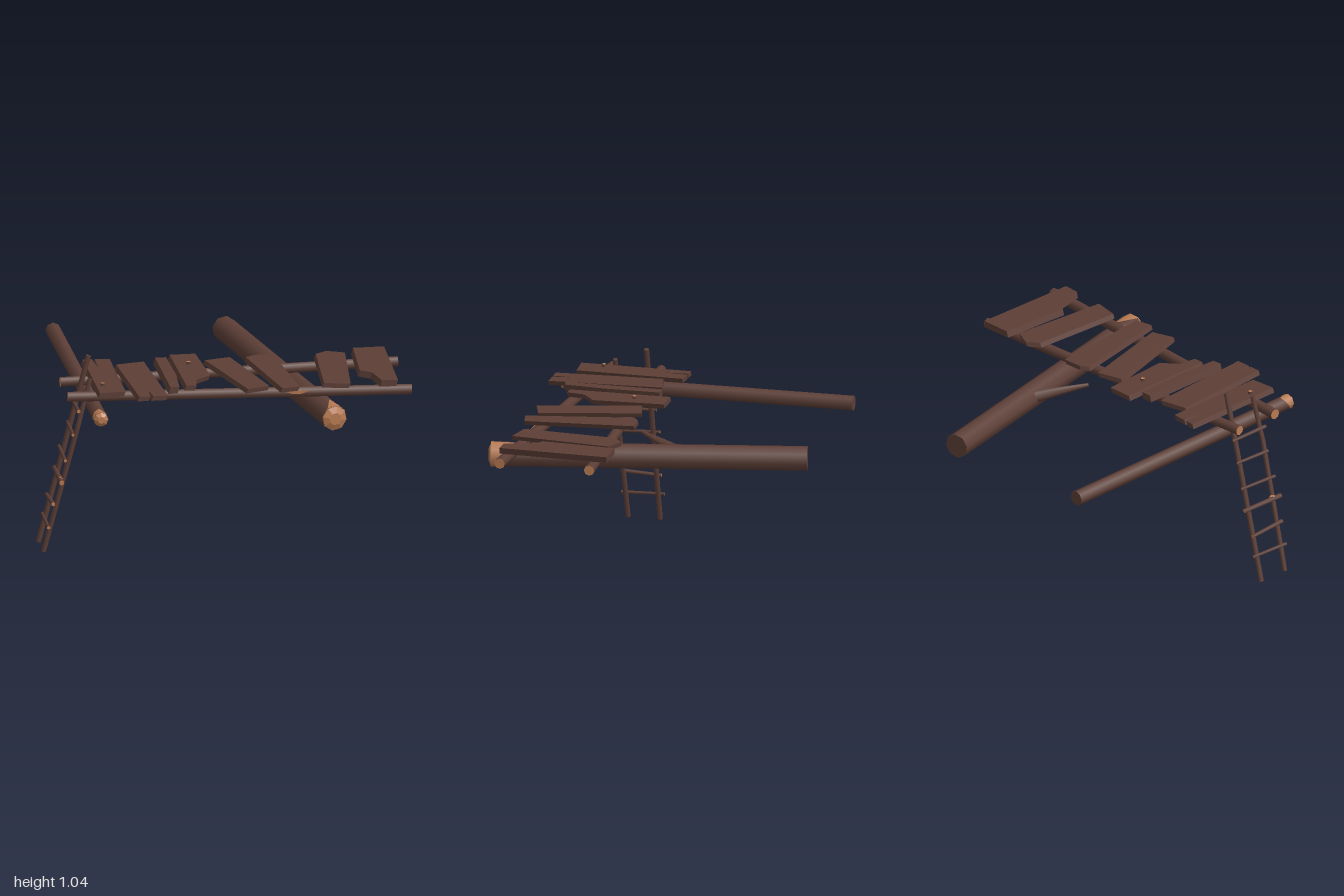
import * as THREE from 'three';

const bark = new THREE.MeshStandardMaterial({ color: 0x5d3f37 });
bark.name = 'dark bark';
const cut = new THREE.MeshStandardMaterial({ color: 0xb87a52 });
cut.name = 'fresh cut wood';

const V = (x, y, z) => new THREE.Vector3(x, y, z);
const UP = V(0, 1, 0);

// Round pole from a to b; startMat and endMat colour its two ends
function pole(name, a, b, ra, rb, sides = 8, startMat = bark, endMat = bark) {
  const dir = b.clone().sub(a);
  const geo = new THREE.CylinderGeometry(rb, ra, dir.length(), sides);
  const mesh = new THREE.Mesh(geo, [bark, endMat, startMat]);
  mesh.name = name;
  mesh.position.copy(a).add(b).multiplyScalar(0.5);
  mesh.quaternion.setFromUnitVectors(UP, dir.normalize());
  return mesh;
}

// Log with a chopped front end: shallow tip plus a slanted strip of bare wood
function choppedLog(name, a, b, ra, rb, sides, depthRule) {
  const group = new THREE.Group();
  group.name = name;
  const log = pole(name + 'Trunk', a, b, ra, rb, sides, bark, cut);
  const half = log.geometry.parameters.height / 2;
  const tipGeo = new THREE.CylinderGeometry(rb * 0.5, rb, 0.014, sides).toNonIndexed();
  tipGeo.computeVertexNormals();
  const tip = new THREE.Mesh(tipGeo, cut);
  tip.name = name + 'Tip';
  tip.position.y = half + 0.007;
  const collarGeo = new THREE.CylinderGeometry(rb + 0.002, rb + 0.002, 0.002, sides, 1, true);
  const p = collarGeo.attributes.position;
  for (let i = 0; i < p.count; i++) {
    if (p.getY(i) < 0) p.setY(i, -depthRule(p.getX(i) / rb, -p.getZ(i) / rb));
  }
  const collar = new THREE.Mesh(collarGeo, cut);
  collar.name = name + 'BareWood';
  collar.position.y = half;
  log.add(tip, collar);
  group.add(log);
  return group;
}

// Rough board from a top outline [x, z]; its lower face is slightly skewed
function plank(outline, base, top) {
  const shape = new THREE.Shape(outline.map(([x, z]) => new THREE.Vector2(x, -z)));
  const geo = new THREE.ExtrudeGeometry(shape, { depth: top - base, bevelEnabled: false });
  geo.rotateX(-Math.PI / 2);
  const p = geo.attributes.position;
  for (let i = 0; i < p.count; i++) if (p.getY(i) < 0.001) p.setX(i, p.getX(i) - 0.01);
  geo.computeVertexNormals();
  const mesh = new THREE.Mesh(geo, bark);
  mesh.name = 'plank';
  mesh.position.y = base;
  return mesh;
}

export function createModel() {
  const model = new THREE.Group();
  model.name = 'woodenWalkway';

  // Supporting logs
  model.add(choppedLog('bigLog', V(0.21, 0.8, -0.845), V(0.55, 0.797, 0.825), 0.069, 0.069, 8,
    (x, up) => (x > -0.1 ? 0.01 + 0.055 * (1 + up) : 0.005)));
  model.add(choppedLog('leftLog', V(-0.72, 0.83, -0.86), V(-0.712, 0.83, 0.755), 0.042, 0.04, 8,
    (x, up) => (x < 0.1 ? 0.01 + 0.025 * (1 + up) : 0.01)));
  model.add(pole('branchStub', V(0.32, 0.81, -0.17), V(0.145, 0.855, 0.09), 0.036, 0.01, 6));

  // Two long rails that carry the deck
  model.add(pole('backRail', V(-0.855, 0.89, 0.245), V(0.995, 0.89, 0.165), 0.027, 0.029, 8, cut, cut));
  model.add(pole('frontRail', V(-0.855, 0.89, 0.513), V(0.995, 0.89, 0.663), 0.029, 0.03, 8, cut, cut));

  // Bare gash on the front rail
  const gashShape = new THREE.Shape([[-0.07, 0.01], [0.07, 0.008], [0.03, -0.008], [-0.02, -0.01]]
    .map(([x, y]) => new THREE.Vector2(x, y)));
  const gash = new THREE.Mesh(new THREE.ExtrudeGeometry(gashShape, { depth: 0.005, bevelEnabled: false }), cut);
  gash.name = 'railGash';
  gash.position.set(0.37, 0.896, 0.639);
  gash.rotation.y = -0.081;
  model.add(gash);

  // Deck planks, some split at the ends
  const deck = new THREE.Group();
  deck.name = 'deck';
  const boards = [
    [[-0.7, 0.04], [-0.65, 0.043], [-0.64, 0.19], [-0.635, 0.044], [-0.555, 0.05], [-0.56, 0.64], [-0.7, 0.65]],
    [[-0.535, 0.15], [-0.38, 0.12], [-0.345, 0.74], [-0.425, 0.74], [-0.435, 0.63], [-0.44, 0.74], [-0.5, 0.74]],
    [[-0.315, 0.1], [-0.255, 0.1], [-0.25, 0.4], [-0.265, 0.63], [-0.315, 0.635]],
    [[-0.225, 0.03], [-0.085, 0.03], [-0.065, 0.42], [-0.15, 0.49], [-0.165, 0.59], [-0.22, 0.59]],
    [[-0.05, 0.145], [0.09, 0.11], [0.13, 0.27], [0.222, 0.65], [0.1, 0.69]],
    [[0.175, 0.125], [0.22, 0.095], [0.325, 0.09], [0.382, 0.685], [0.285, 0.705]],
    [[0.555, 0.13], [0.62, 0.085], [0.715, 0.13], [0.66, 0.68], [0.52, 0.65]],
    [[0.765, 0.085], [0.935, 0.085], [0.917, 0.685], [0.83, 0.68], [0.8, 0.535], [0.74, 0.485]],
  ];
  const tops = [0.945, 0.943, 0.955, 0.945, 0.942, 0.942, 0.943, 0.953];
  boards.forEach((b, i) => deck.add(plank(b, 0.918, tops[i])));
  for (const [x, z] of [[-0.665, 0.515], [-0.15, 0.21]]) {
    deck.add(pole('peg', V(x, 0.93, z), V(x, 0.96, z), 0.013, 0.012, 6, bark, cut));
  }
  model.add(deck);

  // Leaning ladder
  const ladder = new THREE.Group();
  ladder.name = 'ladder';
  const leanX = (y) => -0.982 + 0.262 * y;
  ladder.add(pole('ladderBackPole', V(leanX(0.008), 0.008, 0.285), V(leanX(1.046), 1.046, 0.29), 0.015, 0.015, 6));
  ladder.add(pole('ladderFrontPole', V(leanX(0.008), 0.008, 0.463), V(leanX(0.72), 0.72, 0.482), 0.014, 0.014, 6));
  ladder.add(pole('ladderFrontPoleTop', V(leanX(0.72), 0.72, 0.482), V(leanX(0.97), 0.97, 0.468), 0.014, 0.013, 6));
  // Each rung: front height, back height, front z, back z, radius
  const rungs = [
    [0.15, 0.158, 0.495, 0.255, 0.01], [0.28, 0.268, 0.49, 0.265, 0.012], [0.408, 0.412, 0.52, 0.25, 0.015],
    [0.525, 0.535, 0.5, 0.255, 0.01], [0.665, 0.672, 0.49, 0.265, 0.01], [0.8, 0.8, 0.5, 0.26, 0.011],
  ];
  rungs.forEach(([yf, yb, zf, zb, r], i) => {
    const shift = i % 2 ? -0.022 : -0.014;
    ladder.add(pole('rung', V(leanX(yf) + shift, yf, zf), V(leanX(yb) + shift, yb, zb), r, r * 0.85, 6, cut, cut));
  });
  // Bare knot on the front pole
  const knot = new THREE.Mesh(new THREE.IcosahedronGeometry(0.021, 0), cut);
  knot.name = 'ladderKnot';
  knot.position.set(leanX(0.41) - 0.006, 0.41, 0.468);
  ladder.add(knot);
  model.add(ladder);

  return model;
}
